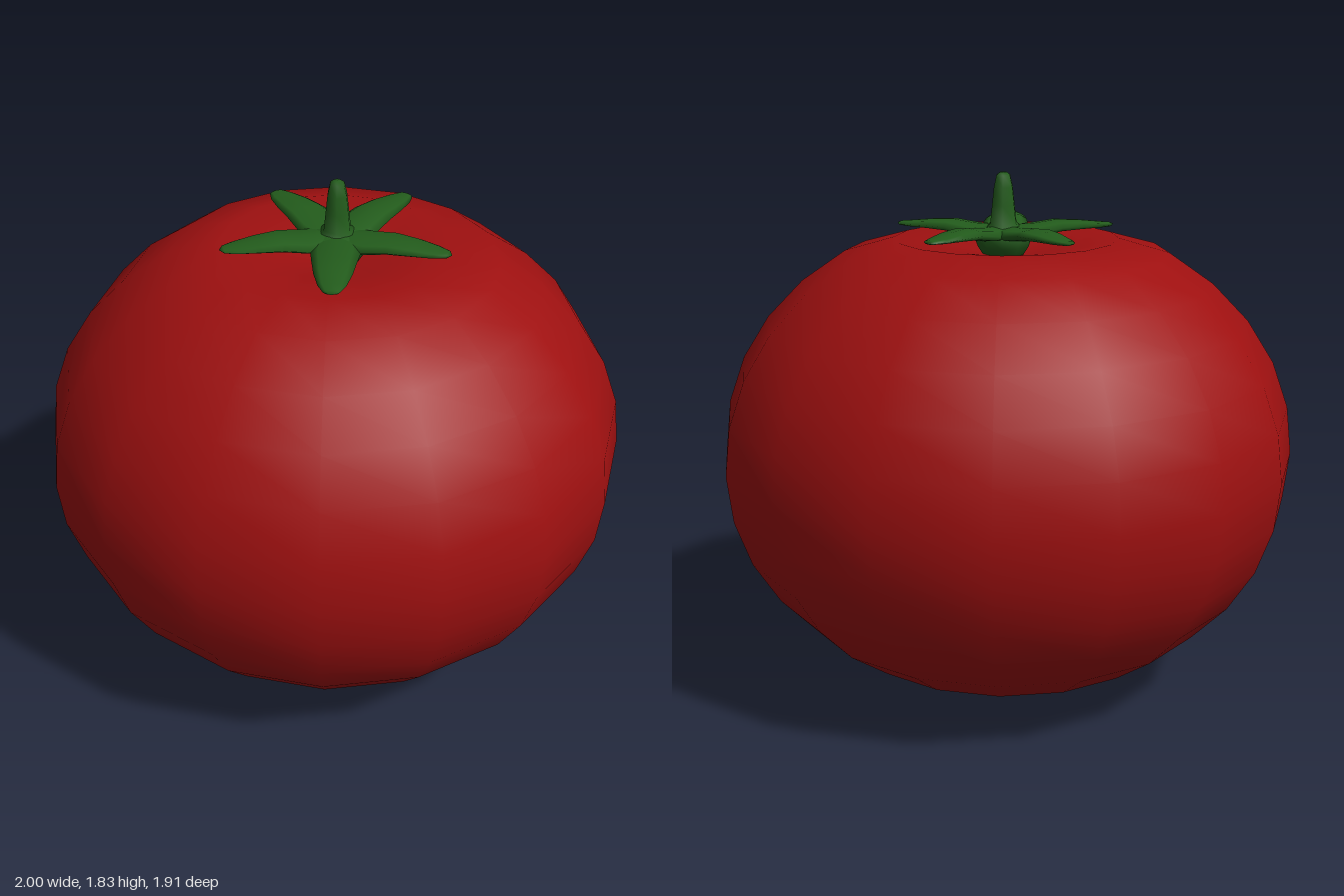
import * as THREE from 'three';
import { mergeVertices } from 'three/addons/utils/BufferGeometryUtils.js';

const red = new THREE.MeshStandardMaterial({ color: 0x9e1010 });
const green = new THREE.MeshStandardMaterial({ color: 0x235c1c });

function addMesh(parent, name, geometry, material) {
  const mesh = new THREE.Mesh(geometry, material);
  mesh.name = name;
  parent.add(mesh);
  return mesh;
}

// Elliptical rings along +z; each row is [z, y, halfWidth, halfThickness]
function leafGeometry(rows, sides = 8) {
  const positions = [], index = [];
  rows.forEach(([z, y, w, t], i) => {
    for (let j = 0; j < sides; j++) {
      const a = (j / sides) * Math.PI * 2;
      positions.push(w * Math.cos(a), y + t * Math.sin(a), z);
      if (i === 0) continue;
      const k = (j + 1) % sides, p = (i - 1) * sides, q = i * sides;
      index.push(p + j, p + k, q + j, p + k, q + k, q + j);
    }
  });
  const geometry = new THREE.BufferGeometry();
  geometry.setAttribute('position', new THREE.Float32BufferAttribute(positions, 3));
  geometry.setIndex(index);
  const merged = mergeVertices(geometry, 1e-4);
  merged.computeVertexNormals();
  return merged;
}

export function createModel() {
  const model = new THREE.Group();
  model.name = 'tomato';

  // Fruit: squashed ball with a shallow dimple on top
  const profile = [];
  for (let i = 0; i <= 13; i++) {
    const a = (i / 16) * Math.PI;
    profile.push(new THREE.Vector2(Math.sin(a), 0.853 - 0.848 * Math.cos(a)));
  }
  profile[0].set(0, 0);
  profile.push(new THREE.Vector2(0.383, 1.607), new THREE.Vector2(0.195, 1.575), new THREE.Vector2(0, 1.54));
  const fruit = addMesh(model, 'fruit', new THREE.LatheGeometry(profile, 16), red);
  fruit.scale.z = 0.956;

  const calyx = new THREE.Group();
  calyx.name = 'calyx';
  calyx.position.set(0.01, 0, -0.005);
  model.add(calyx);

  // Hub under the leaves
  const hub = [[0, 1.53], [0.06, 1.535], [0.09, 1.58], [0.105, 1.62], [0.08, 1.645], [0, 1.655]];
  addMesh(calyx, 'hub', new THREE.LatheGeometry(hub.map(p => new THREE.Vector2(...p)), 10), green);

  // Five arched leaves
  const leaf = leafGeometry([
    [0, 1.628, 0, 0],
    [0.01, 1.628, 0.07, 0.022],
    [0.11, 1.63, 0.081, 0.022],
    [0.19, 1.642, 0.073, 0.02],
    [0.27, 1.642, 0.062, 0.015],
    [0.34, 1.639, 0.045, 0.01],
    [0.38, 1.638, 0.026, 0.007],
    [0.394, 1.638, 0, 0],
  ]);
  for (let i = 0; i < 5; i++) {
    addMesh(calyx, 'leaf', leaf, green).rotation.y = (i / 5) * Math.PI * 2;
  }

  // Tapered stem with a rounded tip
  const stem = [[0.075, 1.635], [0.05, 1.66], [0.043, 1.72], [0.036, 1.78], [0.026, 1.82], [0.012, 1.83], [0, 1.83]];
  addMesh(calyx, 'stem', new THREE.LatheGeometry(stem.map(p => new THREE.Vector2(...p)), 6), green)
    .position.z = -0.01;

  return model;
}
